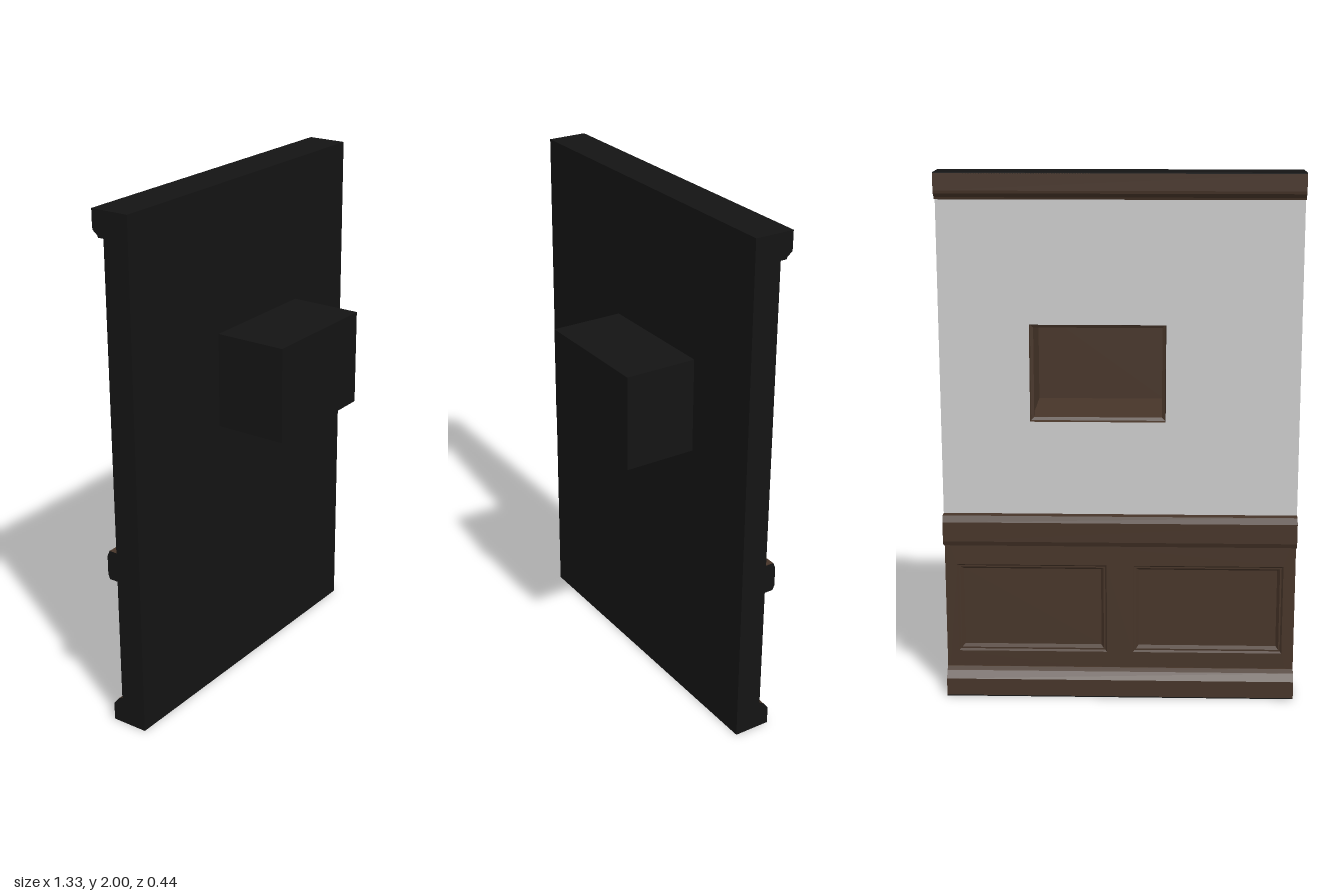
import * as THREE from 'three';

const HALF = 0.665;
const material = (color) => new THREE.MeshStandardMaterial({ color, flatShading: true });
const black = material(0x141414);
const wood = material(0x473529);
const plaster = material(0xcccccc);

const NICHE = [-0.17, 0.333, 1.08, 1.445];
const PANELS = [[-0.62, -0.05, 0.17, 0.52], [0.05, 0.62, 0.17, 0.52]];

function rectangle(Type, [x0, x1, y0, y1]) {
  return new Type([[x0, y0], [x1, y0], [x1, y1], [x0, y1]].map(([x, y]) => new THREE.Vector2(x, y)));
}

// Upright slab from z0 to z1 with rectangular openings
function slab(rect, openings, z0, z1) {
  const shape = rectangle(THREE.Shape, rect);
  shape.holes = openings.map((o) => rectangle(THREE.Path, o));
  return new THREE.ExtrudeGeometry(shape, { depth: z1 - z0, bevelEnabled: false }).translate(0, 0, z0);
}

// Nested rectangles [inset, z] joined by sides and closed at the last one.
// Seen from inside, or from outside when outward is set.
function tray([x0, x1, y0, y1], loops, outward = false) {
  const points = [];
  const quad = (a, b, c, d) => points.push(...(outward ? [a, c, b, a, d, c] : [a, b, c, a, c, d]).flat());
  const rings = loops.map(([i, z]) => [
    [x0 + i, y0 + i, z], [x1 - i, y0 + i, z], [x1 - i, y1 - i, z], [x0 + i, y1 - i, z],
  ]);
  for (let r = 0; r < rings.length - 1; r++) {
    for (let k = 0; k < 4; k++) {
      const n = (k + 1) % 4;
      quad(rings[r][k], rings[r + 1][k], rings[r + 1][n], rings[r][n]);
    }
  }
  const [a, b, c, d] = rings[rings.length - 1];
  quad(a, d, c, b);
  const geometry = new THREE.BufferGeometry();
  geometry.setAttribute('position', new THREE.Float32BufferAttribute(points, 3));
  geometry.computeVertexNormals();
  return geometry;
}

// Moulding run along x from a profile of [distance behind centre, height]
function moulding(profile) {
  const shape = new THREE.Shape(profile.map(([u, v]) => new THREE.Vector2(u, v)));
  return new THREE.ExtrudeGeometry(shape, { depth: HALF * 2, bevelEnabled: false })
    .rotateY(Math.PI / 2).translate(-HALF, 0, 0);
}

export function createModel() {
  const group = new THREE.Group();
  const add = (name, geometry, mat) => {
    const mesh = new THREE.Mesh(geometry, mat);
    mesh.name = name;
    group.add(mesh);
  };

  // Wall core and its two facings
  add('wallCore', slab([-HALF, HALF, 0.002, 1.998], [NICHE], -0.14, -0.065), black);
  add('plasterFacing', slab([-HALF, HALF, 0.66, 1.998], [NICHE], -0.17, -0.14), [plaster, black]);
  add('wainscotFacing', slab([-HALF, HALF, 0.002, 0.66], PANELS, -0.17, -0.14), [wood, black]);

  // Dark top and bottom edges
  for (const [name, y, back] of [['topEdge', 1.998, -0.218], ['bottomEdge', 0.002, -0.211]]) {
    const depth = -0.065 - back;
    add(name, new THREE.BoxGeometry(HALF * 2, 0.004, depth).translate(0, y, back + depth / 2), black);
  }

  // Recessed wainscot panels with bevelled borders
  for (const panel of PANELS) {
    add('recessedPanel', tray(panel, [[0, -0.17], [0.006, -0.162], [0.012, -0.162], [0.022, -0.148]]), wood);
  }

  // Mouldings with dark cut ends
  add('crownMoulding', moulding([
    [0.16, 1.902], [0.194, 1.902], [0.197, 1.91], [0.216, 1.925], [0.218, 1.935], [0.218, 1.997], [0.16, 1.997],
  ]), [black, wood]);
  add('chairRail', moulding([
    [0.16, 0.607], [0.205, 0.607], [0.213, 0.625], [0.213, 0.7], [0.203, 0.724], [0.16, 0.724],
  ]), [black, wood]);
  add('baseboard', moulding([
    [0.16, 0.003], [0.211, 0.003], [0.211, 0.07], [0.19, 0.097], [0.173, 0.108], [0.16, 0.108],
  ]), [black, wood]);

  // Niche: lining with a stepped lip, and the box that encloses it
  add('nicheLining', tray(NICHE, [
    [0, -0.17], [0.003, -0.155], [0.014, -0.15], [0.014, -0.125], [0.004, -0.115], [0.004, 0.213],
  ]), wood);
  add('nicheBox', tray(NICHE, [[0, -0.07], [0, 0.217]], true), black);

  return group;
}
